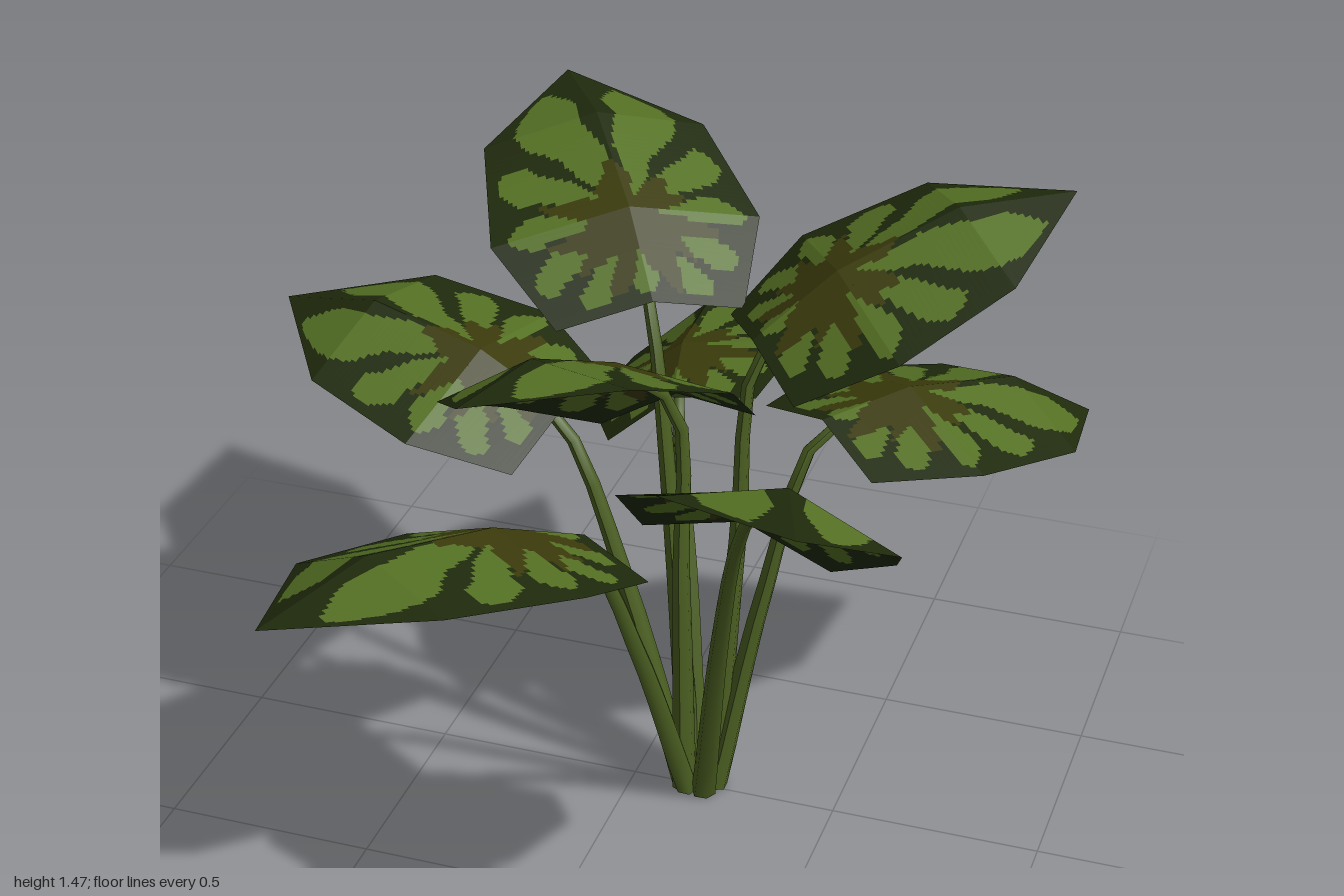
import * as THREE from 'three';

const material = (name, color) => {
  const m = new THREE.MeshStandardMaterial({ color, side: THREE.DoubleSide });
  m.name = name;
  return m;
};

// Blade stations along its length: position, half width, rim height, midrib height
const STATIONS = [
  [0, 0.21, 0, 0.06],
  [0.23, 0.305, 0.035, 0.12],
  [0.53, 0.255, 0.035, 0.115],
  [0.785, 0, 0, 0],
];
const LENGTH = 0.785;

function station(u) {
  let i = 0;
  while (i < STATIONS.length - 2 && u > STATIONS[i + 1][0]) i++;
  const a = STATIONS[i], b = STATIONS[i + 1];
  const t = (u - a[0]) / (b[0] - a[0]);
  const [w, rim, rib] = [1, 2, 3].map((k) => a[k] + (b[k] - a[k]) * t);
  return { w, rim, rib };
}

// Leaf marking: 0 dark margin and slits, 1 light fingers, 2 brown heart
function marking(u, v) {
  const heart = 0.2;
  const du = u - heart;
  const r = Math.hypot(du, v);
  const theta = Math.atan2(v, du);
  const q = Math.max(Math.abs(v) / (station(u).w + 1e-4), du / (LENGTH - heart), -du / heart);
  const a = (Math.abs(theta) / Math.PI) * 5.5 + 0.18 * Math.sin(r * 13) * Math.sin(Math.abs(theta));
  const f = Math.abs(a - Math.floor(a) - 0.5) * 2;
  const ripple = 0.03 * Math.sin(theta * 7 + 1) + 0.02 * Math.sin(theta * 13 + r * 30);
  if (r < 0.1 + ripple + 0.07 * f) return 2;
  if (q > 0.88 - 0.3 * f * f + ripple) return 0;
  return f < 0.78 - 0.16 * q + 0.09 * Math.sin(r * 34 + theta * 5) ? 1 : 0;
}

// One blade made of narrow rows, each row cut at the midrib and where the marking changes
function bladeGeometry() {
  const lists = [[], [], []];
  const columns = 64;
  const point = (s, p, u) => [s * p.w, p.rib + (p.rim - p.rib) * Math.abs(s), u];
  for (let s = 0; s < STATIONS.length - 1; s++) {
    const from = STATIONS[s][0], to = STATIONS[s + 1][0];
    const rows = Math.round((to - from) / 0.0125);
    for (let i = 0; i < rows; i++) {
      const u0 = from + ((to - from) * i) / rows;
      const u1 = from + ((to - from) * (i + 1)) / rows;
      const p0 = station(u0), p1 = station(u1);
      const um = (u0 + u1) / 2, wm = station(um).w;
      const mark = (j) => marking(um, (((j + 0.5) / columns) * 2 - 1) * wm);
      let start = 0;
      for (let j = 1; j <= columns; j++) {
        const m = mark(start);
        if (j < columns && j !== columns / 2 && mark(j) === m) continue;
        const a = (start / columns) * 2 - 1, b = (j / columns) * 2 - 1;
        const A = point(a, p0, u0), B = point(a, p1, u1);
        const C = point(b, p1, u1), D = point(b, p0, u0);
        lists[m].push(...A, ...B, ...C, ...A, ...C, ...D);
        start = j;
      }
    }
  }
  const geometry = new THREE.BufferGeometry();
  let offset = 0;
  lists.forEach((list, i) => {
    geometry.addGroup(offset, list.length / 3, i);
    offset += list.length / 3;
  });
  geometry.setAttribute('position', new THREE.Float32BufferAttribute(lists.flat(), 3));
  geometry.computeVertexNormals();
  return geometry;
}

// Stalk: a tube narrowed toward its upper end
function stalkGeometry(points) {
  const curve = new THREE.CatmullRomCurve3(points);
  const rings = 10, sides = 6;
  const geometry = new THREE.TubeGeometry(curve, rings, 0.03, sides, false);
  const pos = geometry.attributes.position;
  const p = new THREE.Vector3();
  for (let i = 0; i <= rings; i++) {
    const centre = curve.getPointAt(i / rings);
    for (let j = 0; j <= sides; j++) {
      const k = i * (sides + 1) + j;
      p.fromBufferAttribute(pos, k).sub(centre).multiplyScalar(1 - 0.6 * (i / rings)).add(centre);
      pos.setXYZ(k, p.x, Math.max(0, p.y), p.z);
    }
  }
  geometry.computeVertexNormals();
  return geometry;
}

// Each leaf: middle of its base, its tip, the direction across it, and its relative width
const LEAVES = [
  ['frontLeft', [0.37, 0.95, 0.41], [0.66, 1.36, 0.99], [0.55, -0.18, -0.2], 1],
  ['frontMiddle', [0.11, 1.02, 0.03], [-0.14, 1.37, 0.73], [0.56, 0.16, 0.06], 1],
  ['frontRight', [-0.04, 0.74, 0.24], [-0.51, 0.9, 0.97], [0.58, 0.12, 0.26], 1.08],
  ['right', [-0.18, 0.93, 0], [-0.94, 1.06, -0.18], [-0.05, -0.085, 0.5], 0.96],
  ['backRight', [-0.01, 1.17, -0.14], [-0.45, 1.46, -0.81], [0.42, 0.02, -0.33], 1.06],
  ['back', [0.02, 0.84, -0.28], [-0.05, 0.77, -1], [0.5, 0.22, 0.02], 0.92],
  ['upperLeft', [0.27, 1.14, -0.09], [0.88, 1.46, -0.52], [0.33, -0.04, 0.47], 1],
  ['lowerLeft', [0.4, 0.93, -0.12], [0.91, 0.78, -0.75], [0.45, 0, 0.38], 1],
];

export function createModel() {
  const plant = new THREE.Group();
  plant.name = 'broadLeafPlant';
  const leafMaterials = [
    material('darkLeafGreen', 0x1f2a0c),
    material('lightLeafGreen', 0x557124),
    material('leafHeartBrown', 0x3b3b0c),
  ];
  const stalkMaterial = material('stalkGreen', 0x4c6022);
  const blade = bladeGeometry();

  for (const [name, base, tip, across, width] of LEAVES) {
    const P = new THREE.Vector3(...base);
    const along = new THREE.Vector3(...tip).sub(P);
    const scale = along.length() / LENGTH;
    along.normalize();
    const side = new THREE.Vector3(...across);
    side.addScaledVector(along, -side.dot(along)).normalize();
    const up = new THREE.Vector3().crossVectors(along, side);
    if (up.y < 0) {
      up.negate();
      side.negate();
    }

    // Blade
    const leaf = new THREE.Mesh(blade, leafMaterials);
    leaf.name = name + 'Leaf';
    leaf.position.copy(P);
    leaf.quaternion.setFromRotationMatrix(new THREE.Matrix4().makeBasis(side, up, along));
    leaf.scale.set(width, 1, scale);
    plant.add(leaf);

    // Stalk from the shared foot to the underside of the blade
    const angle = Math.atan2(P.z, P.x - 0.16);
    const foot = new THREE.Vector3(0.165 + 0.04 * Math.cos(angle), 0, 0.03 * Math.sin(angle));
    const middle = foot.clone().lerp(P, 0.5);
    middle.y = P.y * 0.6;
    const neck = P.clone().addScaledVector(up, 0.02);
    const joint = P.clone().addScaledVector(along, 0.17 * scale).addScaledVector(up, 0.088);
    const stalk = new THREE.Mesh(stalkGeometry([foot, middle, neck, joint]), stalkMaterial);
    stalk.name = name + 'Stalk';
    plant.add(stalk);
  }
  return plant;
}
